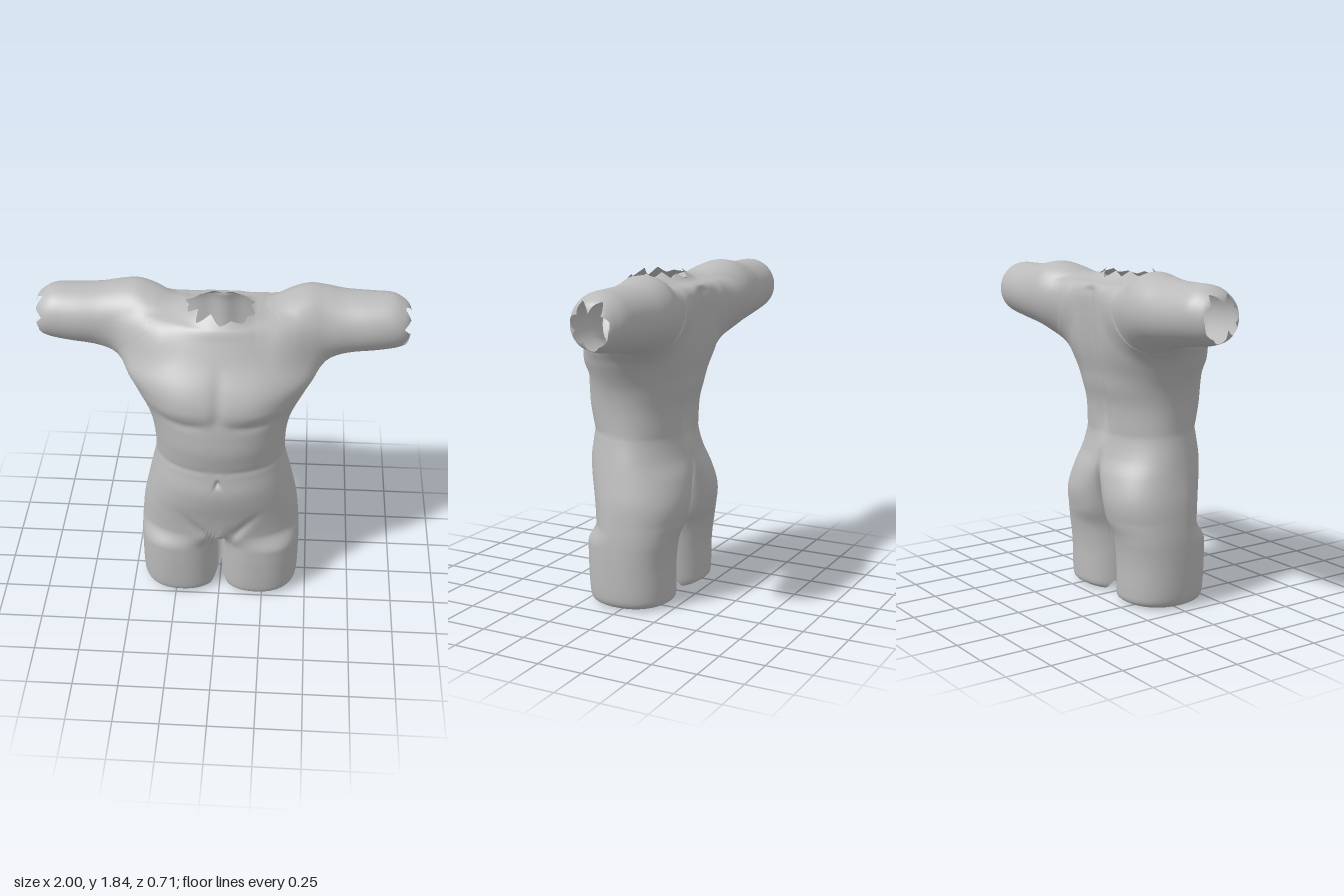
import * as THREE from 'three';

const skin = new THREE.MeshStandardMaterial({ color: 0xbababa, side: THREE.DoubleSide });
skin.name = 'plain grey';

const bell = (d, r) => Math.exp(-(d * d) / (r * r));
const { smoothstep: step, lerp, clamp } = THREE.MathUtils;

// Smooth interpolation of one column through the section rows
function sample(rows, t, col) {
  const n = rows.length - 1;
  const i = Math.min(Math.floor(t), n - 1), f = t - i;
  const at = (k) => rows[clamp(k, 0, n)][col];
  const a = at(i), b = at(i + 1);
  const ma = (b - at(i - 1)) / 2, mb = (at(i + 2) - a) / 2;
  const f2 = f * f, f3 = f2 * f;
  return (2 * f3 - 3 * f2 + 1) * a + (f3 - 2 * f2 + f) * ma + (3 * f2 - 2 * f3) * b + (f3 - f2) * mb;
}
const section = (rows, t) => [0, 1, 2, 3, 4, 5].map((c) => sample(rows, t, c));

// Zigzag around a torn opening: 0 at a tooth tip, up to 1 in a notch
function tornEdge(teeth, seed) {
  const rnd = (k) => {
    const s = Math.sin((k + 1) * 12.9898 + seed * 78.233) * 43758.5453;
    return s - Math.floor(s);
  };
  const height = (k) => (k % 2 ? 0.6 + 0.4 * rnd(k) : 0.6 * rnd(k));
  return (turn) => {
    const q = turn * teeth * 2, k = Math.floor(q), f = q - k;
    return height(k % (teeth * 2)) * (1 - f) + height((k + 1) % (teeth * 2)) * f;
  };
}

// Skin over sections. Row: [s, uMin, uMax, vBack, vWidest, vFront]; place turns (s, u, v) into a point
function loft(name, rows, place, o) {
  const none = () => 0;
  const { steps, sides, flip = false, torn, tornStart = none, power = 2, lobe = (s, cu, cv) => cv, skip = none } = o;
  const pos = [], index = [], end = rows.length - 1;
  for (let k = 0; k <= steps; k++) {
    for (let j = 0; j < sides; j++) {
      const t = lerp(tornStart(j / sides), end - torn(j / sides), k / steps);
      const [s, u0, u1, vb, vc, vf] = section(rows, t);
      const a = (j / sides) * Math.PI * 2;
      const cs = Math.cos(a), sn = Math.sin(a);
      const cu = Math.sign(cs) * Math.abs(cs) ** (2 / power);
      const cv = lobe(s, cu, Math.sign(sn) * Math.abs(sn) ** (2 / power));
      pos.push(...place(s, (u0 + u1) / 2 + (cu * (u1 - u0)) / 2, vc + cv * (cv > 0 ? vf - vc : vc - vb), cv));
    }
  }
  const mid = (tri, c) => tri.reduce((sum, i) => sum + pos[i * 3 + c], 0) / 3;
  const face = (a, b, c) => {
    const tri = flip ? [a, c, b] : [a, b, c];
    if (!skip(mid(tri, 0), mid(tri, 1), mid(tri, 2))) index.push(...tri);
  };
  for (let k = 0; k < steps; k++) {
    for (let j = 0; j < sides; j++) {
      const a = k * sides + j, b = k * sides + ((j + 1) % sides);
      face(a, b, a + sides);
      face(b, b + sides, a + sides);
    }
  }
  const g = new THREE.BufferGeometry();
  g.setAttribute('position', new THREE.Float32BufferAttribute(pos, 3));
  g.setIndex(index);
  g.computeVertexNormals();
  const mesh = new THREE.Mesh(g, skin);
  mesh.name = name;
  return mesh;
}

// Rough signed distance to a loft, from sections resampled evenly along s
function field(rows, power) {
  const N = 400, last = rows.length - 1, s0 = rows[0][0], s1 = rows[last][0];
  const table = Array.from({ length: N + 1 }, (_, i) => {
    const s = lerp(s0, s1, i / N);
    let lo = 0, hi = last;
    for (let n = 0; n < 24; n++) {
      const m = (lo + hi) / 2;
      if (sample(rows, m, 0) < s) lo = m; else hi = m;
    }
    return section(rows, lo);
  });
  return (s, u, v) => {
    const x = clamp((s - s0) / (s1 - s0), 0, 1) * N, i = Math.min(Math.floor(x), N - 1);
    const [, u0, u1, vb, vc, vf] = table[i].map((a, c) => lerp(a, table[i + 1][c], x - i));
    const hu = (u1 - u0) / 2, hv = v > vc ? vf - vc : vc - vb;
    const q = (Math.abs((u - (u0 + u1) / 2) / hu) ** power + Math.abs((v - vc) / hv) ** power) ** (1 / power);
    return (q - 1) * Math.min(hu, hv) + Math.max(0, s0 - s, s - s1);
  };
}

// Body: [height, half width, back, widest, front], thighs to neck
const bodyRows = [
  [0.01, 0.395, -0.16, 0.03, 0.205],
  [0.018, 0.415, -0.18, 0.03, 0.225],
  [0.04, 0.44, -0.205, 0.03, 0.25],
  [0.10, 0.45, -0.21, 0.03, 0.26],
  [0.25, 0.453, -0.212, 0.03, 0.268],
  [0.38, 0.452, -0.23, 0.03, 0.27],
  [0.48, 0.445, -0.268, 0.03, 0.275],
  [0.60, 0.432, -0.287, 0.03, 0.295],
  [0.72, 0.407, -0.268, 0.03, 0.325],
  [0.82, 0.385, -0.225, 0.03, 0.337],
  [0.92, 0.362, -0.20, 0.04, 0.325],
  [0.98, 0.355, -0.20, 0.04, 0.325],
  [1.10, 0.36, -0.21, 0.05, 0.347],
  [1.20, 0.378, -0.235, 0.05, 0.347],
  [1.28, 0.41, -0.25, 0.04, 0.342],
  [1.38, 0.465, -0.275, 0.02, 0.342],
  [1.48, 0.515, -0.29, 0.0, 0.31],
  [1.60, 0.48, -0.30, -0.05, 0.245],
  [1.70, 0.41, -0.30, -0.08, 0.195],
  [1.755, 0.31, -0.275, -0.06, 0.17],
  [1.78, 0.21, -0.20, -0.03, 0.15],
  [1.83, 0.14, -0.14, -0.02, 0.10],
].map(([y, w, b, c, f]) => [y, -w, w, b, c, f]);

// Arm: [x, bottom, top, back, widest, front], shoulder to torn end
const armRows = [
  [0.20, 1.55, 1.765, -0.25, -0.12, 0.02],
  [0.30, 1.49, 1.808, -0.295, -0.14, 0.07],
  [0.38, 1.47, 1.835, -0.335, -0.16, 0.06],
  [0.46, 1.465, 1.85, -0.355, -0.17, 0.03],
  [0.55, 1.476, 1.838, -0.356, -0.175, 0.005],
  [0.65, 1.485, 1.822, -0.345, -0.17, 0.0],
  [0.78, 1.50, 1.818, -0.333, -0.165, 0.0],
  [0.89, 1.515, 1.815, -0.318, -0.165, -0.012],
  [0.95, 1.53, 1.79, -0.29, -0.165, -0.03],
  [0.985, 1.55, 1.76, -0.26, -0.16, -0.06],
  [1.0, 1.60, 1.715, -0.215, -0.16, -0.10],
];

const bodyDepth = field(bodyRows, 2.1), armDepth = field(armRows, 2);
const toBody = (x, y, z) => bodyDepth(y, x, z);
const toArm = (x, y, z) => armDepth(x, y, z);

// Melts shoulder and chest together: moves a point onto the soft union of body and arm
function melt(x, y, z, other) {
  const k = 0.14, e = 0.004;
  const depth = other(x, y, z);
  if (y < 1.2 || depth > k || depth < -0.08) return [x, y, z];
  const union = (p) => {
    const a = toBody(...p), b = toArm(...p);
    return Math.min(a, b) - Math.max(0, k - Math.abs(a - b)) ** 2 / (4 * k);
  };
  const target = -clamp(-depth - 0.012, 0, 0.05);
  let p = [x, y, z];
  for (let n = 0; n < 4; n++) {
    const f = union(p);
    const grad = [0, 1, 2].map((c) => (union(p.map((v, i) => (i === c ? v + e : v))) - f) / e);
    const move = clamp((target - f) / (grad[0] ** 2 + grad[1] ** 2 + grad[2] ** 2 + 0.05), -0.03, 0.03);
    p = p.map((v, i) => v + move * grad[i]);
  }
  return p;
}

// Chest, ribs, navel, groin and spine relief
function bodyPoint(y0, x0, z0, facing) {
  const [ax, y, z] = melt(Math.abs(x0), y0, z0, toArm);
  let d = 0;
  if (facing > 0) {
    const chest = step(y, 1.25, 1.36) * (1 - step(y, 1.4, 1.65));
    const fold = 1.275 + 1.1 * (ax - 0.17) ** 2;
    d += 0.02 * bell(ax - 0.2, 0.16) * chest - 0.012 * bell(ax, 0.035) * chest;
    d -= 0.006 * bell(y - fold, 0.025) * bell(ax - 0.19, 0.13);
    d -= 0.004 * bell(y - 0.965, 0.02);
    d -= 0.025 * bell(ax, 0.012) * bell(y - 0.89, 0.02);
    d -= 0.022 * bell(ax - (y - 0.36) * 0.75, 0.035) * step(y, 0.36, 0.42) * (1 - step(y, 0.46, 0.68));
  } else {
    const back = step(y, 0.85, 1.05) * (1 - step(y, 1.72, 1.78));
    d += 0.03 * bell(ax, 0.06) * back - 0.01 * bell(ax - 0.22, 0.1) * bell(y - 1.5, 0.15);
  }
  return [Math.sign(x0) * ax, y, z + d * Math.min(1, Math.abs(facing) * 2)];
}

// Splits the section into two thighs below, and into buttocks behind
function thighs(y, cu, cv) {
  const round = Math.max(0, 1 - Math.abs(2 * Math.abs(cu) - 1) ** 2.25) ** (1 / 2.25);
  const split = cv > 0 ? 1 - step(y, 0.35, 0.46) : lerp(1 - step(y, 0.36, 0.5), 1 - step(y, 0.5, 0.88), 0.6);
  return Math.sign(cv) * lerp(Math.abs(cv), round, split);
}

export function createModel() {
  const model = new THREE.Group();
  model.name = 'torso figure';

  // Body, left hollow at the arms and notched between the thighs
  const neckTear = tornEdge(10, 3), legTear = tornEdge(18, 5);
  model.add(loft('body', bodyRows, bodyPoint, {
    steps: 220, sides: 192, flip: true, power: 2.1, lobe: thighs,
    torn: neckTear,
    tornStart: (q) => 0.3 * legTear(q) + 2.8 * Math.max(bell(q - 0.25, 0.02), bell(q - 0.75, 0.02)),
    skip: (x, y, z) => Math.abs(x) > 0.36 && ((y - 1.65) / 0.12) ** 2 + ((z + 0.17) / 0.12) ** 2 < 1,
  }));

  // Arms
  const armTear = tornEdge(7, 7);
  for (const side of [1, -1]) {
    const armPoint = (x0, y0, z0) => {
      const [x, y, z] = melt(x0, y0, z0, toBody);
      return [side * x, y, z];
    };
    model.add(loft(side > 0 ? 'leftArm' : 'rightArm', armRows, armPoint, {
      steps: 90, sides: 84, flip: side < 0, torn: (q) => 2 * armTear(q),
    }));
  }
  return model;
}
